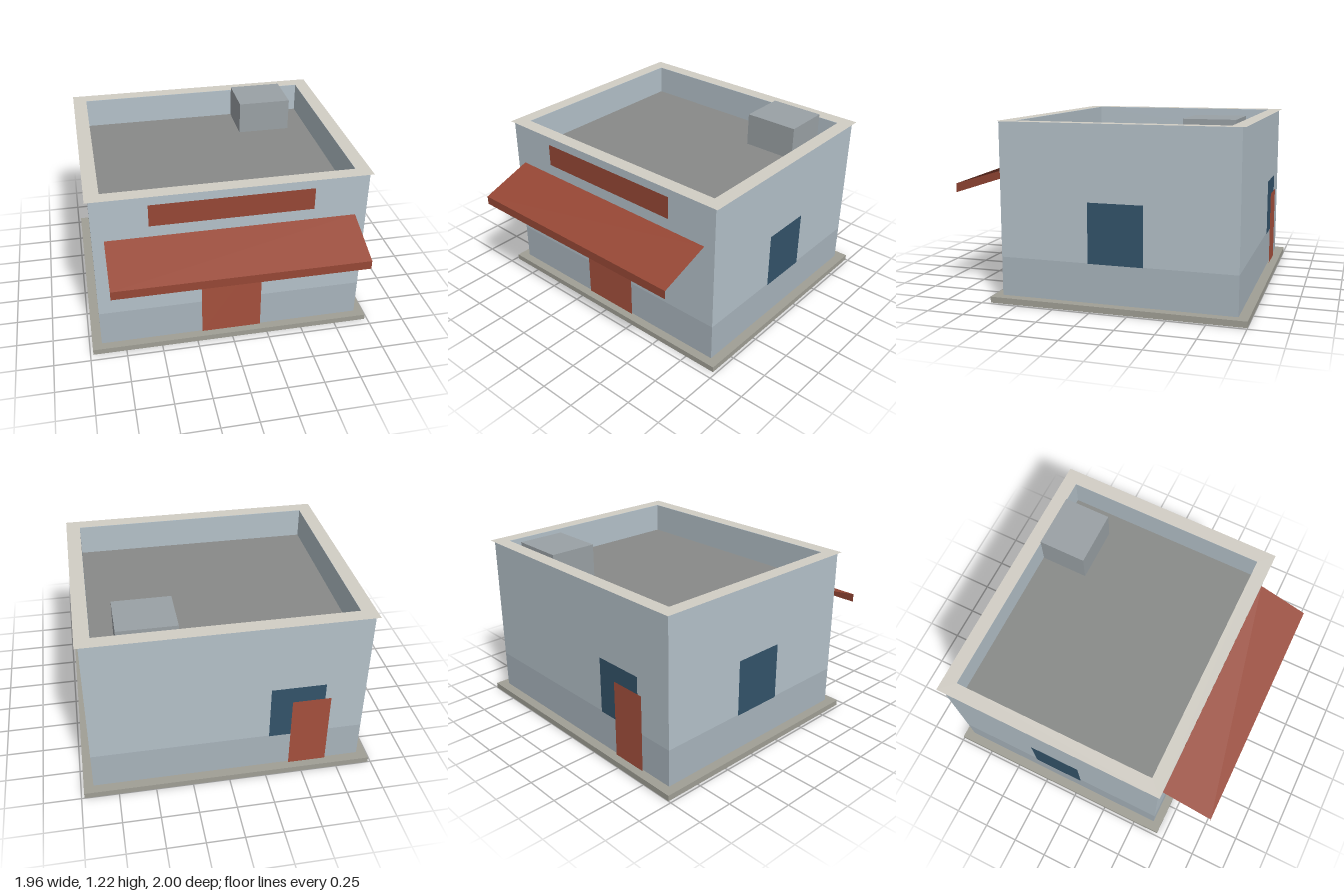
import * as THREE from 'three';

const mat = (color, side = THREE.FrontSide) => new THREE.MeshStandardMaterial({ color, side });

export function createModel() {
  const group = new THREE.Group();
  const wall = mat(0xb4c1c9), band = mat(0xa8b4bc), roof = mat(0x888a88);
  const slab = mat(0xa09f95), trim = mat(0xd2cec5, THREE.DoubleSide), unit = mat(0x9aa1a5);
  const glass = mat(0x33536a), door = mat(0xa5503d), sign = mat(0x964735);
  const awning = mat(0x964735, THREE.DoubleSide);

  const add = (name, geometry, material) => {
    const mesh = new THREE.Mesh(geometry, material);
    mesh.name = name;
    group.add(mesh);
    return mesh;
  };
  // Box given by its lower and upper corners
  const box = (name, [x0, y0, z0], [x1, y1, z1], material) =>
    add(name, new THREE.BoxGeometry(x1 - x0, y1 - y0, z1 - z0), material)
      .position.set((x0 + x1) / 2, (y0 + y1) / 2, (z0 + z1) / 2);
  // Flat panel just off a wall, turned about y to face outwards
  const panel = (name, w, y0, y1, x, z, turn, material) => {
    const mesh = add(name, new THREE.PlaneGeometry(w, y1 - y0), material);
    mesh.position.set(x, (y0 + y1) / 2, z);
    mesh.rotation.y = turn;
  };
  // Rectangular ring in plan, with the roof well as its hole
  const trace = (path, x, z0, z1) => {
    path.moveTo(-x, -z1);
    path.lineTo(x, -z1);
    path.lineTo(x, -z0);
    path.lineTo(-x, -z0);
    path.closePath();
    return path;
  };
  const ring = (x, z0, z1) => {
    const shape = trace(new THREE.Shape(), x, z0, z1);
    shape.holes.push(trace(new THREE.Path(), 0.84, -0.86, 0.555));
    return shape;
  };

  // Ground slab and walls, with the roof deck on top of the body
  box('baseSlab', [-0.98, 0, -1], [0.98, 0.04, 0.695], slab);
  box('lowerWallBand', [-0.915, 0.04, -0.935], [0.915, 0.3, 0.635], band);
  box('wallsAndRoofDeck', [-0.915, 0.3, -0.935], [0.915, 0.98, 0.635],
    [wall, wall, roof, wall, wall, wall]);

  // Parapet and its thin overhanging coping
  const parapet = new THREE.ExtrudeGeometry(ring(0.915, -0.935, 0.635), { depth: 0.21, bevelEnabled: false });
  add('parapet', parapet.rotateX(-Math.PI / 2).translate(0, 0.98, 0), wall);
  const coping = new THREE.ShapeGeometry(ring(0.937, -0.957, 0.652));
  add('parapetCoping', coping.rotateX(-Math.PI / 2).translate(0, 1.192, 0), trim);

  // Rooftop unit
  box('rooftopUnit', [0.305, 0.98, -0.857], [0.69, 1.215, -0.523], unit);

  // Front door and sign board
  panel('frontDoor', 0.418, 0.04, 0.667, 0, 0.643, 0, door);
  panel('signBoard', 1.095, 0.97, 1.127, 0, 0.643, 0, sign);

  // Side windows
  for (const s of [-1, 1])
    panel(s > 0 ? 'leftWindow' : 'rightWindow', 0.366, 0.3, 0.695, s * 0.923, -0.15, s * Math.PI / 2, glass);

  // Back window with the service door partly in front
  panel('backWindow', 0.366, 0.3, 0.695, -0.457, -0.942, Math.PI, glass);
  panel('backDoor', 0.26, 0.04, 0.58, -0.55, -0.947, Math.PI, door);

  // Sloped awning with a hanging valance
  const slope = new THREE.PlaneGeometry(1.674, Math.hypot(0.36, 0.13));
  slope.rotateX(-Math.atan2(0.36, 0.13)).translate(0, 0.825, 0.82);
  add('awningSlope', slope, awning);
  add('awningValance', new THREE.PlaneGeometry(1.674, 0.06).translate(0, 0.73, 1), awning);

  return group;
}
